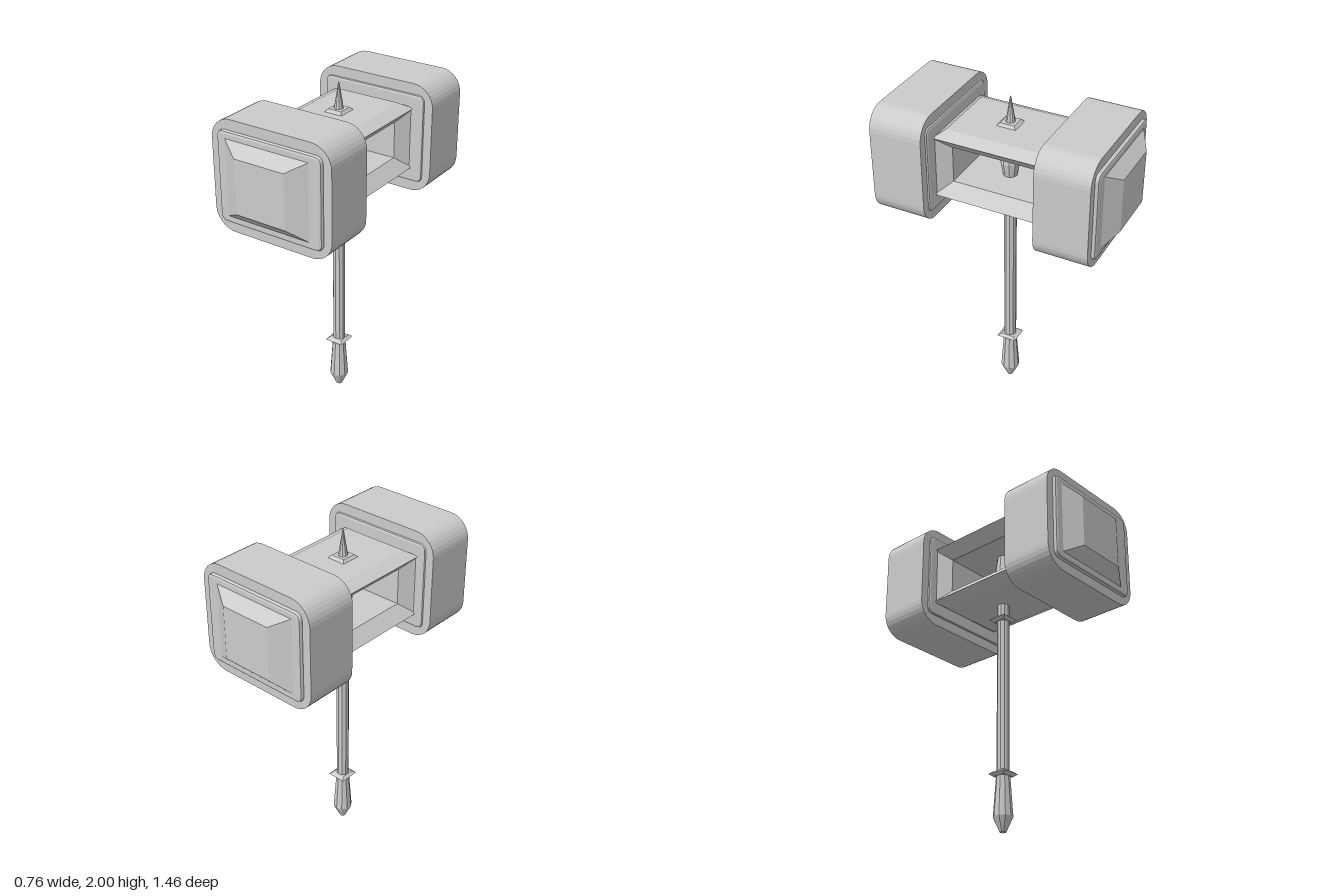
import * as THREE from 'three';

const HEAD_Y = 1.615, HEAD_X = -0.01, SHAFT_X = -0.02;
const mat = new THREE.MeshStandardMaterial({ color: 0xcccccc, flatShading: true });

function add(parent, name, geo, x = 0, y = 0, z = 0) {
  const mesh = new THREE.Mesh(geo, mat);
  mesh.name = name;
  mesh.position.set(x, y, z);
  parent.add(mesh);
  return mesh;
}

// Box standing on y = 0 whose top rectangle differs from its base
function taperedBox(w, d, w2, d2, h) {
  const geo = new THREE.BoxGeometry(w, h, d).translate(0, h / 2, 0);
  const p = geo.attributes.position;
  for (let i = 0; i < p.count; i++) {
    if (p.getY(i) > h / 2) {
      p.setX(i, Math.sign(p.getX(i)) * w2 / 2);
      p.setZ(i, Math.sign(p.getZ(i)) * d2 / 2);
    }
  }
  geo.computeVertexNormals();
  return geo;
}

// Rounded rectangle extruded from z0 to z1, with an optional bevel
function roundedSlab(w, h, r, z0, z1, bevel = 0) {
  const a = w / 2 - bevel, b = h / 2 - bevel, s = new THREE.Shape();
  s.moveTo(-a + r, -b);
  s.absarc(a - r, -b + r, r, -Math.PI / 2, 0);
  s.absarc(a - r, b - r, r, 0, Math.PI / 2);
  s.absarc(-a + r, b - r, r, Math.PI / 2, Math.PI);
  s.absarc(-a + r, -b + r, r, Math.PI, Math.PI * 1.5);
  return new THREE.ExtrudeGeometry(s, {
    depth: z1 - z0 - 2 * bevel, curveSegments: 4, bevelEnabled: bevel > 0,
    bevelSize: bevel, bevelThickness: bevel, bevelSegments: 2,
  }).translate(0, 0, z0 + bevel);
}

// Closed loop of rectangles along x: the outer walls and the flared window
function windowFrame() {
  const rings = [ // x, half height, half depth
    [-0.27, 0.18, 0.33], [0.27, 0.18, 0.33],
    [0.2, 0.108, 0.245], [-0.2, 0.108, 0.245],
  ].map(([x, y, z]) => [[x, y, -z], [x, y, z], [x, -y, z], [x, -y, -z]]);
  const pos = [];
  for (let i = 0; i < 4; i++) {
    for (let j = 0; j < 4; j++) {
      const next = rings[(i + 1) % 4], k = (j + 1) % 4;
      const a = rings[i][j], b = rings[i][k], c = next[k], d = next[j];
      pos.push(...a, ...b, ...c, ...a, ...c, ...d);
    }
  }
  const geo = new THREE.BufferGeometry();
  geo.setAttribute('position', new THREE.Float32BufferAttribute(pos, 3));
  geo.computeVertexNormals();
  return geo;
}

const lathe = (pts, sides) =>
  new THREE.LatheGeometry(pts.map(([r, y]) => new THREE.Vector2(r, y)), sides);

export function createModel() {
  const model = new THREE.Group();
  model.name = 'warHammer';

  // Hollow centre of the head with shallow caps above and below
  const core = new THREE.Group();
  core.name = 'headCore';
  core.position.set(HEAD_X, HEAD_Y, 0);
  model.add(core);
  add(core, 'windowFrame', windowFrame());
  add(core, 'upperCap', taperedBox(0.54, 0.66, 0.4, 0.56, 0.033), 0, 0.18, 0);
  add(core, 'lowerCap', taperedBox(0.54, 0.66, 0.4, 0.56, 0.033), 0, -0.18, 0)
    .rotation.x = Math.PI;

  // Two striking blocks, front and back
  for (const side of ['front', 'back']) {
    const block = new THREE.Group();
    block.name = side + 'Block';
    block.position.y = HEAD_Y;
    if (side === 'back') block.rotation.y = Math.PI;
    model.add(block);
    add(block, 'blockBand', roundedSlab(0.76, 0.65, 0.125, 0.33, 0.645));
    add(block, 'blockCore', roundedSlab(0.66, 0.53, 0.025, 0.318, 0.667, 0.014));
    const face = taperedBox(0.545, 0.455, 0.315, 0.32, 0.067).rotateX(Math.PI / 2);
    add(block, 'strikingFace', face, side === 'back' ? -HEAD_X : HEAD_X, 0, 0.663);
  }

  // Handle: pommel, grip, shaft, and the swelling seen through the window
  const handle = new THREE.Group();
  handle.name = 'handle';
  handle.position.x = SHAFT_X;
  model.add(handle);
  add(handle, 'grip', lathe([[0, 0], [0.018, 0], [0.057, 0.085], [0.04, 0.32], [0, 0.32]], 10));
  add(handle, 'shaft', new THREE.CylinderGeometry(0.037, 0.037, 1.1, 10), 0, 0.87, 0);
  add(handle, 'innerShaft',
    lathe([[0.037, 1.4], [0.04, 1.5], [0.056, 1.59], [0.036, 1.72], [0.036, 1.82]], 10));

  // Square collars with a pointed rim
  for (const y of [0.333, 1.297]) {
    const collar = new THREE.Group();
    collar.name = 'collar';
    collar.position.y = y;
    handle.add(collar);
    add(collar, 'collarTop', taperedBox(0.115, 0.12, 0.08, 0.08, 0.015));
    add(collar, 'collarBottom', taperedBox(0.115, 0.12, 0.08, 0.08, 0.015))
      .rotation.x = Math.PI;
  }

  // Plates where the handle passes the head, and the top spike
  add(handle, 'lowerPlate', taperedBox(0.2, 0.2, 0.12, 0.12, 0.012), 0, 1.403, 0)
    .rotation.x = Math.PI;
  add(handle, 'upperPlate', taperedBox(0.115, 0.12, 0.085, 0.085, 0.018), 0, 1.826, 0);
  add(handle, 'spike', lathe([[0.028, 1.84], [0.004, 1.99], [0, 2]], 10));

  return model;
}
